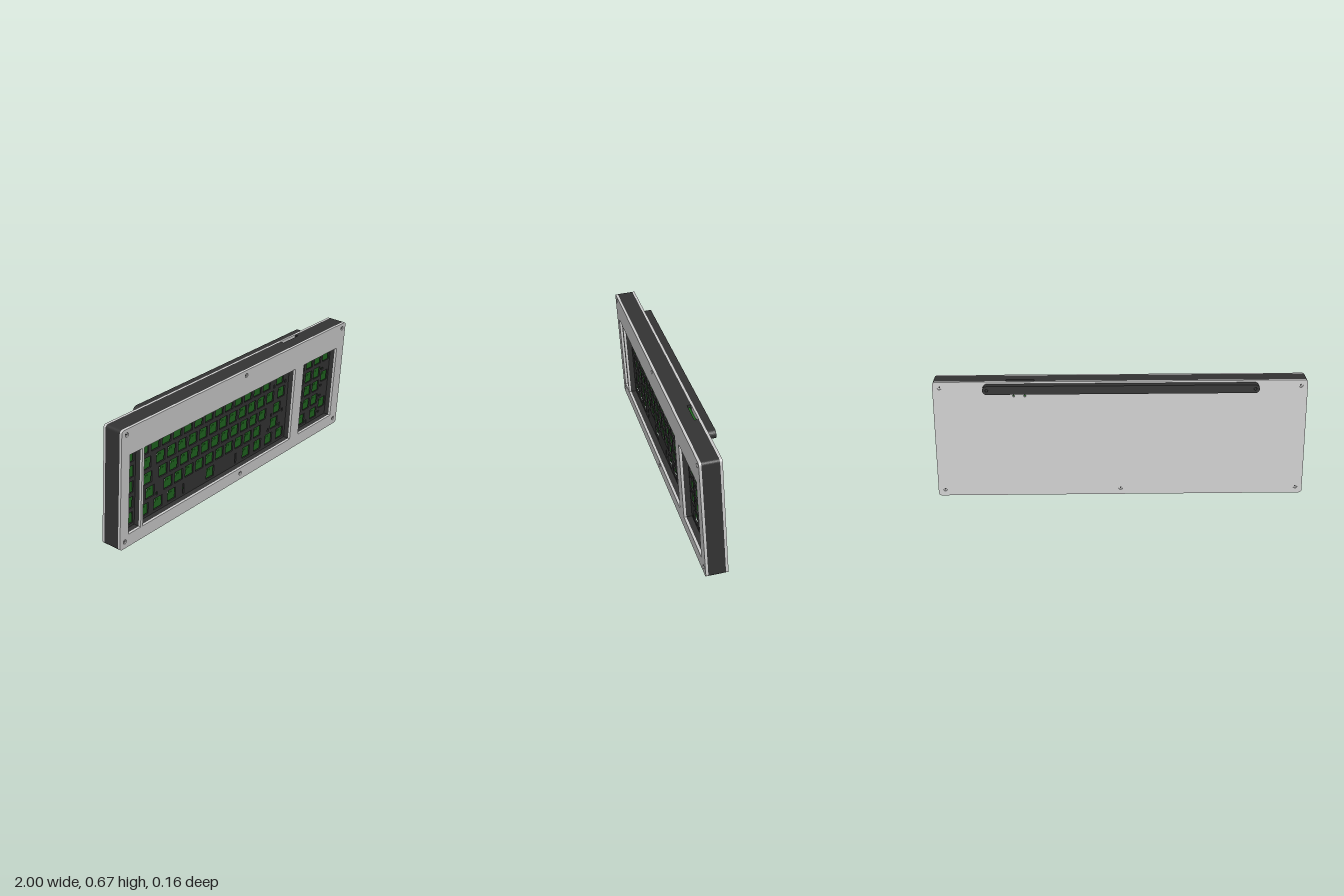
import * as THREE from 'three';

const U = 0.0875; // key pitch
const GREY = 0xcccccc, DARK = 0x333333, GREEN = 0x1f661f;
const material = (color) => new THREE.MeshStandardMaterial({ color, roughness: 0.8 });
const mats = { grey: material(GREY), dark: material(DARK), green: material(GREEN) };

// Clockwise rounded rectangle that starts and ends on its top edge
function loop(w, h, r, startX = 0, endX = startX) {
  const pts = [new THREE.Vector2(startX, h)];
  [[w - r, h - r, 90], [w - r, r - h, 0], [r - w, r - h, -90], [r - w, h - r, -180]].forEach(([cx, cy, a]) => {
    for (let i = 0; i <= 6; i++) {
      const t = THREE.MathUtils.degToRad(a - i * 15);
      pts.push(new THREE.Vector2(cx + r * Math.cos(t), cy + r * Math.sin(t)));
    }
  });
  if (endX !== startX) pts.push(new THREE.Vector2(endX, h));
  return pts;
}

function rect(x, y, w, h) {
  const p = new THREE.Path();
  p.moveTo(x - w / 2, y - h / 2).lineTo(x + w / 2, y - h / 2);
  p.lineTo(x + w / 2, y + h / 2).lineTo(x - w / 2, y + h / 2).closePath();
  return p;
}

function circle(x, y, r, n = 16) {
  const p = new THREE.Path();
  for (let i = 0; i < n; i++) {
    const a = (i / n) * Math.PI * 2;
    const px = x + r * Math.cos(a), py = y + r * Math.sin(a);
    if (i) p.lineTo(px, py); else p.moveTo(px, py);
  }
  p.closePath();
  return p;
}

// Flat layer of the stack between depths z0 and z1
function layer(name, points, holes, z0, z1, mat) {
  const shape = new THREE.Shape(points);
  shape.holes.push(...holes);
  const geo = new THREE.ExtrudeGeometry(shape, { depth: z1 - z0, bevelEnabled: false, curveSegments: 8 });
  geo.translate(0, 0, z0);
  const mesh = new THREE.Mesh(geo, mat);
  mesh.name = name;
  return mesh;
}

// Switch centres [x, y] and stabiliser slots [x, y, w, h]
function layout() {
  const keys = [], slots = [];
  const rowY = (r) => 0.139 - r * U;
  const mainX = (u) => -0.826 + u * U;
  const padX = (c) => 0.617 + c * U;
  const rows = [
    { first: 0.5, count: 13, extra: [14] },
    { first: 2, count: 12, extra: [0.75, 14.25] },
    { first: 2.25, count: 11, extra: [0.875, 13.875] },
    { first: 2.75, count: 10, extra: [1.125, 13.625] },
    { first: 0, count: 0, extra: [0.625, 1.875, 3.125, 6.875, 10.625, 11.875, 13.125, 14.375] },
  ];
  rows.forEach(({ first, count, extra }, r) => {
    keys.push([-0.892, rowY(r)]);
    for (let i = 0; i < count; i++) keys.push([mainX(first + i), rowY(r)]);
    extra.forEach((u) => keys.push([mainX(u), rowY(r)]));
    for (let c = 0; c < 3; c++) if (r < 4 || c === 2) keys.push([padX(c), rowY(r)]);
  });
  keys.push([padX(3), rowY(0)], [padX(3), rowY(1.5)], [padX(3), rowY(3.5)], [padX(0.5), rowY(4)]);
  // Slots either side of the wide keys
  [[mainX(14), 0], [mainX(13.875), 2], [mainX(1.125), 3], [mainX(13.625), 3], [padX(0.5), 4]].forEach(([x, r]) => {
    for (const s of [-1, 1]) slots.push([x + s * 0.0545, rowY(r) - 0.03, 0.012, 0.02]);
  });
  for (const r of [1.5, 3.5]) for (const s of [-1, 1]) slots.push([padX(3) - 0.03, rowY(r) + s * 0.0545, 0.02, 0.012]);
  for (const s of [-1, 1]) slots.push([mainX(6.875) + s * 0.23, rowY(4) - 0.005, 0.011, 0.06]);
  return { keys, slots };
}

export function createModel() {
  const root = new THREE.Group();
  root.name = 'keyboardCase';
  const board = new THREE.Group();
  board.name = 'tiltedCase';
  root.add(board);

  const W = 1, H = 0.33, R = 0.016;
  const outline = loop(W, H, R);
  const windows = () => [
    rect(-0.892, -0.0375, 0.092, 0.443),
    rect(-0.172, -0.0375, 1.316, 0.443),
    rect(0.7485, -0.0375, 0.353, 0.443),
  ];
  const screwSpots = [];
  for (const x of [-0.963, 0, 0.963]) for (const y of [0.299, -0.292]) screwSpots.push([x, y]);
  const screwHoles = () => screwSpots.map(([x, y]) => circle(x, y, 0.012));

  // Outer plates and hollow body
  board.add(layer('frontPlate', outline, [...windows(), ...screwHoles()], 0.0445, 0.0575, mats.grey));
  board.add(layer('upperBody', outline, windows(), 0.015, 0.0445, mats.dark));
  const inner = new THREE.Path(loop(0.955, 0.285, 0.01));
  board.add(layer('middleBody', outline, [inner], -0.023, 0.015, mats.dark));
  const notched = [...loop(W, H, R, 0.61, 0.46), ...loop(0.955, 0.285, 0.01, 0.61, 0.46).reverse()];
  board.add(layer('lowerBodyWithPortOpening', notched, [], -0.0445, -0.023, mats.dark));
  const pinHoles = [0.51, 0.57].map((x) => circle(x, 0.25, 0.006, 10));
  board.add(layer('backPlate', outline, [...screwHoles(), ...pinHoles], -0.0575, -0.0445, mats.grey));

  // Switch plate with square cutouts
  const { keys, slots } = layout();
  const cutouts = keys.map(([x, y]) => rect(x, y, 0.066, 0.064));
  cutouts.push(...slots.map((s) => rect(...s)));
  board.add(layer('switchPlate', loop(0.955, 0.285, 0.01), cutouts, 0.007, 0.0149, mats.dark));

  // Circuit board with the pin holes of each switch
  const drills = [];
  keys.forEach(([x, y]) => {
    drills.push(circle(x, y, 0.0092, 12));
    for (const [dx, dy, r] of [[-0.0233, 0, 0.004], [0.0233, 0, 0.004], [-0.0175, 0.0117, 0.0035], [0.0117, 0.0233, 0.0035]])
      drills.push(circle(x + dx, y + dy, r, 6));
  });
  board.add(layer('circuitBoard', loop(0.95, 0.28, 0.01), drills, -0.016, -0.0085, mats.green));

  // Small board behind the port opening
  const port = new THREE.Mesh(new THREE.BoxGeometry(0.15, 0.06, 0.016), mats.green);
  port.name = 'portBoard';
  port.position.set(0.535, 0.285, -0.031);
  board.add(port);

  // Socket screws, sunk slightly into both plates
  const head = new THREE.CylinderGeometry(0.0115, 0.0115, 0.006, 16).rotateX(Math.PI / 2);
  const socket = new THREE.CylinderGeometry(0.005, 0.005, 0.002, 6).rotateX(Math.PI / 2);
  screwSpots.forEach(([x, y]) => {
    for (const side of [-1, 1]) {
      const screw = new THREE.Group();
      screw.name = side > 0 ? 'frontScrew' : 'backScrew';
      const h = new THREE.Mesh(head, mats.grey);
      h.name = 'screwHead';
      const s = new THREE.Mesh(socket, mats.dark);
      s.name = 'screwSocket';
      s.position.z = side * 0.003;
      screw.add(h, s);
      screw.position.set(x, y, side * 0.0485);
      board.add(screw);
    }
  });

  // Long round-ended foot along the upper back
  const foot = layer('rearFoot', loop(0.735, 0.023, 0.0229),
    [-0.712, 0.712].map((x) => circle(x, 0, 0.008)), -0.0997, -0.0575, mats.dark);
  foot.position.set(-0.003, 0.296, 0);
  board.add(foot);

  // Lean the case forward and stand it on the ground
  board.rotation.x = THREE.MathUtils.degToRad(4.07);
  board.position.y = 0.3333;
  return root;
}
